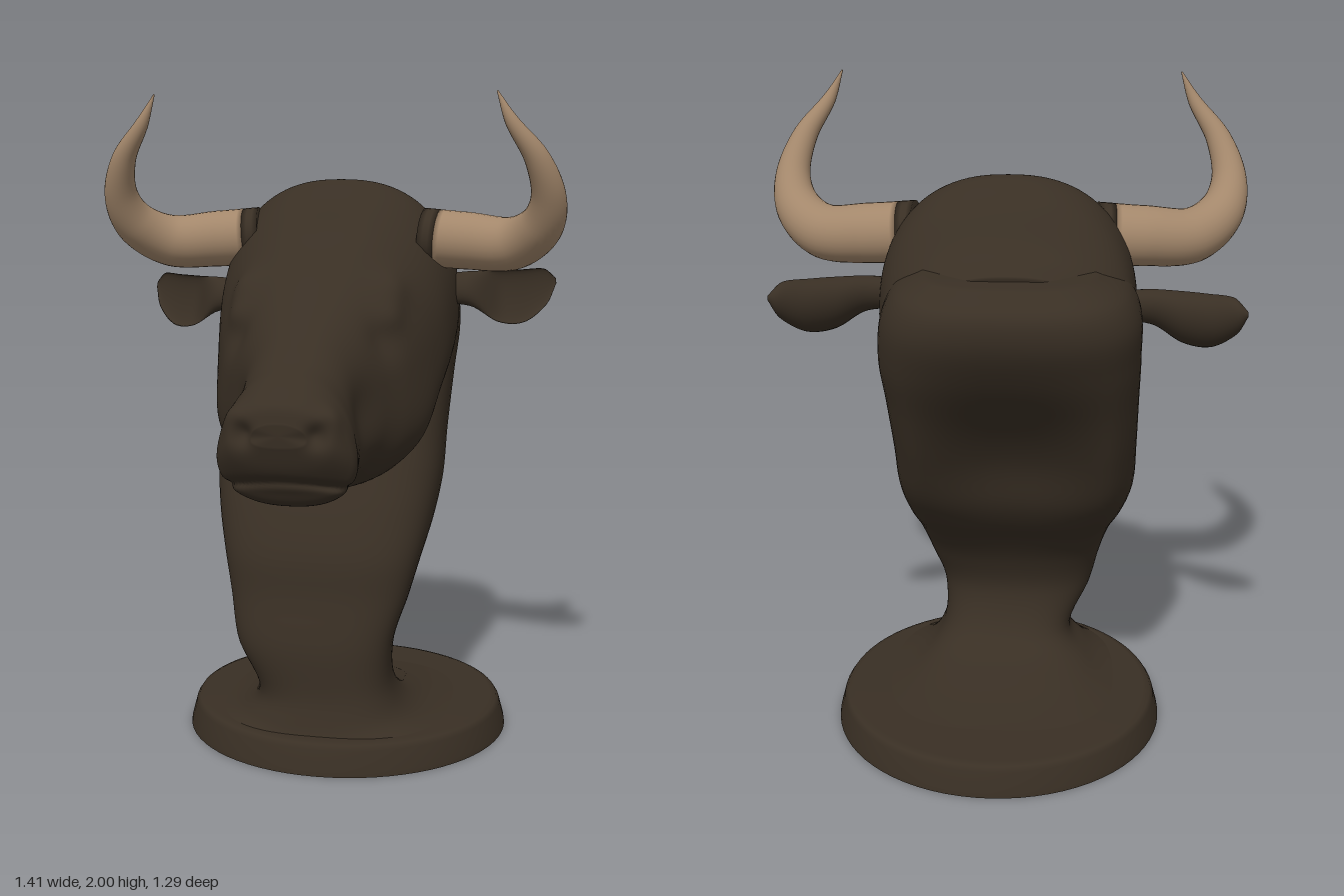
import * as THREE from 'three';

const hide = new THREE.MeshStandardMaterial({ color: 0x392f24 });
hide.name = 'dark bronze hide';
const horn = new THREE.MeshStandardMaterial({ color: 0xa3876b });
horn.name = 'tan horn';
const { lerp, smoothstep } = THREE.MathUtils;

// Closed skin over a list of rings (equal point counts), wound to face outward
function loft(rings) {
  const n = rings[0].length, pos = [], idx = [];
  rings.forEach(r => r.forEach(p => pos.push(p.x, p.y, p.z)));
  for (let i = 0; i < rings.length - 1; i++)
    for (let j = 0; j < n; j++) {
      const a = i * n + j, b = i * n + (j + 1) % n;
      idx.push(a, b, a + n, b, b + n, a + n);
    }
  [0, rings.length - 1].forEach((r, end) => {
    const c = rings[r].reduce((s, p) => s.add(p), new THREE.Vector3()).divideScalar(n);
    const k = pos.push(c.x, c.y, c.z) / 3 - 1;
    for (let j = 0; j < n; j++) {
      const a = r * n + j, b = r * n + (j + 1) % n;
      end ? idx.push(a, b, k) : idx.push(b, a, k);
    }
  });
  const P = i => new THREE.Vector3().fromArray(pos, i * 3);
  let vol = 0;
  for (let i = 0; i < idx.length; i += 3) vol += P(idx[i]).dot(P(idx[i + 1]).cross(P(idx[i + 2])));
  if (vol < 0) idx.reverse();
  const g = new THREE.BufferGeometry();
  g.setAttribute('position', new THREE.Float32BufferAttribute(pos, 3));
  g.setIndex(idx);
  g.computeVertexNormals();
  return g;
}

// Rows are [z, y of one edge, z, y of the opposite edge, half width, x centre]
function body(rows, power, deform, steps, sides) {
  const A = new THREE.CatmullRomCurve3(rows.map(r => new THREE.Vector3(r[0], r[1], r[4])));
  const B = new THREE.CatmullRomCurve3(rows.map(r => new THREE.Vector3(r[2], r[3], r[5])));
  const bend = s => Math.sign(s) * Math.abs(s) ** (2 / power);
  const rings = [];
  for (let i = 0; i <= steps; i++) {
    const a = A.getPoint(i / steps), b = B.getPoint(i / steps), ring = [];
    for (let j = 0; j < sides; j++) {
      const t = j / sides * Math.PI * 2, u = bend(Math.cos(t)), v = bend(Math.sin(t)), k = (u + 1) / 2;
      const p = new THREE.Vector3(b.z + v * a.z, b.y + (a.y - b.y) * k, b.x + (a.x - b.x) * k);
      deform(p, u, v, b.z);
      ring.push(p);
    }
    rings.push(ring);
  }
  return loft(rings);
}

// Head: top edge and jaw edge from the muzzle back to the nape
const headRows = [
  [.65, 1.10, .645, 1.04, .075, -.02], [.635, 1.15, .615, .97, .14, -.02],
  [.60, 1.18, .565, .90, .18, -.02], [.54, 1.215, .535, .86, .192, -.02],
  [.47, 1.25, .47, .842, .185, -.02], [.38, 1.32, .38, .855, .187, -.02],
  [.25, 1.41, .27, .858, .235, -.025], [.15, 1.49, .17, .825, .29, -.025],
  [.03, 1.60, .05, .83, .337, -.02], [-.08, 1.70, -.07, .92, .365, -.015],
  [-.18, 1.752, -.2, 1.0, .372, -.01], [-.28, 1.71, -.28, 1.08, .365, -.01],
  [-.4, 1.58, -.36, 1.15, .335, -.02], [-.5, 1.53, -.42, 1.25, .24, -.02],
];

// Sculpted bumps and dents, mirrored: x, y, z, radius, then the push in x, y, z
const sculpt = [
  [.10, 1.07, .62, .03, -.012, 0, -.035],     // nostril
  [.13, 1.11, .60, .04, .01, .008, .006],     // nostril wing
  [.24, 1.36, .18, .05, .014, 0, .01],        // eye
  [.23, 1.44, .13, .06, .018, .01, .01],      // brow
  [.22, 1.29, .22, .06, -.015, 0, -.008],     // tear hollow
  [.19, 1.10, .36, .09, -.02, 0, 0],          // cheek hollow
  [.31, 1.0, .10, .12, .015, 0, 0],           // jaw muscle
  [0, 1.60, 0, .07, 0, -.01, -.01],           // forehead furrow
];

function shapeHead(p, u, v, cx) {
  const taper = smoothstep(p.z, .2, .55);
  p.x = cx + (p.x - cx) * (1 - (.05 + .15 * taper) * u);
  const side = Math.sign(p.x - cx), ax = Math.abs(p.x - cx), start = p.clone();
  for (const [x, y, z, r, dx, dy, dz] of sculpt) {
    const d2 = (ax - x) ** 2 + (start.y - y) ** 2 + (start.z - z) ** 2;
    const w = Math.exp(-d2 / (r * r));
    p.x += side * dx * w; p.y += dy * w; p.z += dz * w;
  }
  // Mouth crease, dropping toward the corners
  const line = .93 - .6 * ax * ax;
  const m = Math.exp(-(((start.y - line) / .013) ** 2)) * smoothstep(start.z, .3, .42);
  p.x -= side * .014 * m * Math.abs(v); p.z -= .014 * m * taper;
}

// Neck: throat edge and nape edge from the plinth upward
const neckRows = [
  [.325, .08, -.54, .08, .42, .02], [.308, .125, -.25, .13, .275, .01],
  [.29, .2, -.06, .2, .212, .01], [.285, .35, .0, .35, .24, -.025],
  [.255, .5, -.04, .47, .275, -.02], [.24, .62, -.13, .58, .305, -.02],
  [.19, .75, -.26, .68, .337, -.025], [.12, .88, -.37, .79, .358, -.03],
  [.05, 1.0, -.455, .94, .36, -.03], [-.05, 1.2, -.525, 1.1, .365, -.025],
  [-.1, 1.35, -.595, 1.25, .37, -.02], [-.1, 1.45, -.64, 1.38, .36, -.025],
  [-.1, 1.5, -.63, 1.46, .325, -.025], [-.14, 1.54, -.55, 1.52, .24, -.02],
];

// Scooped hollow between two ridges down the back of the neck
function shapeNeck(p, u, v) {
  const depth = .13 * Math.exp(-(((p.y - .93) / .26) ** 2));
  p.z += depth * Math.max(0, -u) * Math.max(0, 1 - (v / .8) ** 2);
}

// Stretch of horn between two steps out of 56: tapering rings along a curve
function hornGeometry(s, from, to) {
  const path = new THREE.CatmullRomCurve3([
    [.26, 1.575, -.13], [.40, 1.565, -.115], [.54, 1.56, -.075], [.628, 1.615, 0],
    [.653, 1.70, .065], [.622, 1.81, .125], [.55, 1.915, .16], [.508, 2.0, .165],
  ].map(p => new THREE.Vector3(p[0] * s, p[1], p[2])));
  const radii = [.09, .088, .081, .068, .052, .037, .02, .002];
  const sides = 28, frames = path.computeFrenetFrames(56), rings = [];
  for (let i = from; i <= to; i++) {
    const t = i / 56, f = path.getUtoTmapping(t) * 7, k = Math.min(6, Math.floor(f));
    const r = lerp(radii[k], radii[k + 1], f - k), c = path.getPointAt(t);
    rings.push(Array.from({ length: sides }, (_, j) => {
      const a = j / sides * Math.PI * 2;
      return c.clone().addScaledVector(frames.normals[i], r * Math.cos(a))
        .addScaledVector(frames.binormals[i], r * Math.sin(a));
    }));
  }
  return loft(rings);
}

// Ear: a plump leaf with a cupped front, its lower edge swung a little forward
function earGeometry(s) {
  const pts = [[.31, 1.41, -.225, .045], [.40, 1.41, -.23, .055], [.48, 1.387, -.245, .08],
    [.56, 1.387, -.28, .082], [.63, 1.415, -.33, .055], [.66, 1.43, -.365, .008]];
  const mid = new THREE.CatmullRomCurve3(pts.map(p => new THREE.Vector3(p[0] * s, p[1], p[2])));
  const size = new THREE.CatmullRomCurve3(pts.map((p, i) => new THREE.Vector3(i, p[3], 0)));
  const rings = [];
  for (let i = 0; i <= 28; i++) {
    const t = i / 28, c = mid.getPoint(t), h = size.getPoint(t).y;
    const cup = lerp(.8, -.3, smoothstep(t, .15, .45));
    rings.push(Array.from({ length: 28 }, (_, j) => {
      const a = j / 28 * Math.PI * 2, q = Math.sin(a), k = Math.cos(a);
      return new THREE.Vector3(c.x - s * h * .12 * k, c.y + h * k,
        c.z + .015 - h * .2 * k + h * (q > 0 ? cup * q : .9 * q));
    }));
  }
  return loft(rings);
}

export function createModel() {
  const model = new THREE.Group();
  model.name = 'bullBust';
  const add = (name, geometry, material) => {
    const mesh = new THREE.Mesh(geometry, material);
    mesh.name = name;
    model.add(mesh);
    return mesh;
  };

  // Round plinth with a sloping rim
  const rim = [[0, 0], [.514, 0], [.514, 0], [.512, .015], [.496, .075], [.486, .09], [.465, .096], [0, .1]];
  add('plinth', new THREE.LatheGeometry(rim.map(p => new THREE.Vector2(...p)), 72), hide)
    .position.set(.025, 0, -.125);

  add('neck', body(neckRows, 2.7, shapeNeck, 80, 64), hide);
  add('head', body(headRows, 2.4, shapeHead, 130, 96), hide);

  // Horns rise from short hide-covered roots
  for (const [side, s] of [['left', 1], ['right', -1]]) {
    add(side + 'HornRoot', hornGeometry(s, 0, 3), hide);
    add(side + 'Horn', hornGeometry(s, 3, 56), horn);
    const ear = add(side + 'Ear', earGeometry(s), hide);
    if (s < 0) ear.position.set(-.022, -.03, 0);
  }
  return model;
}
